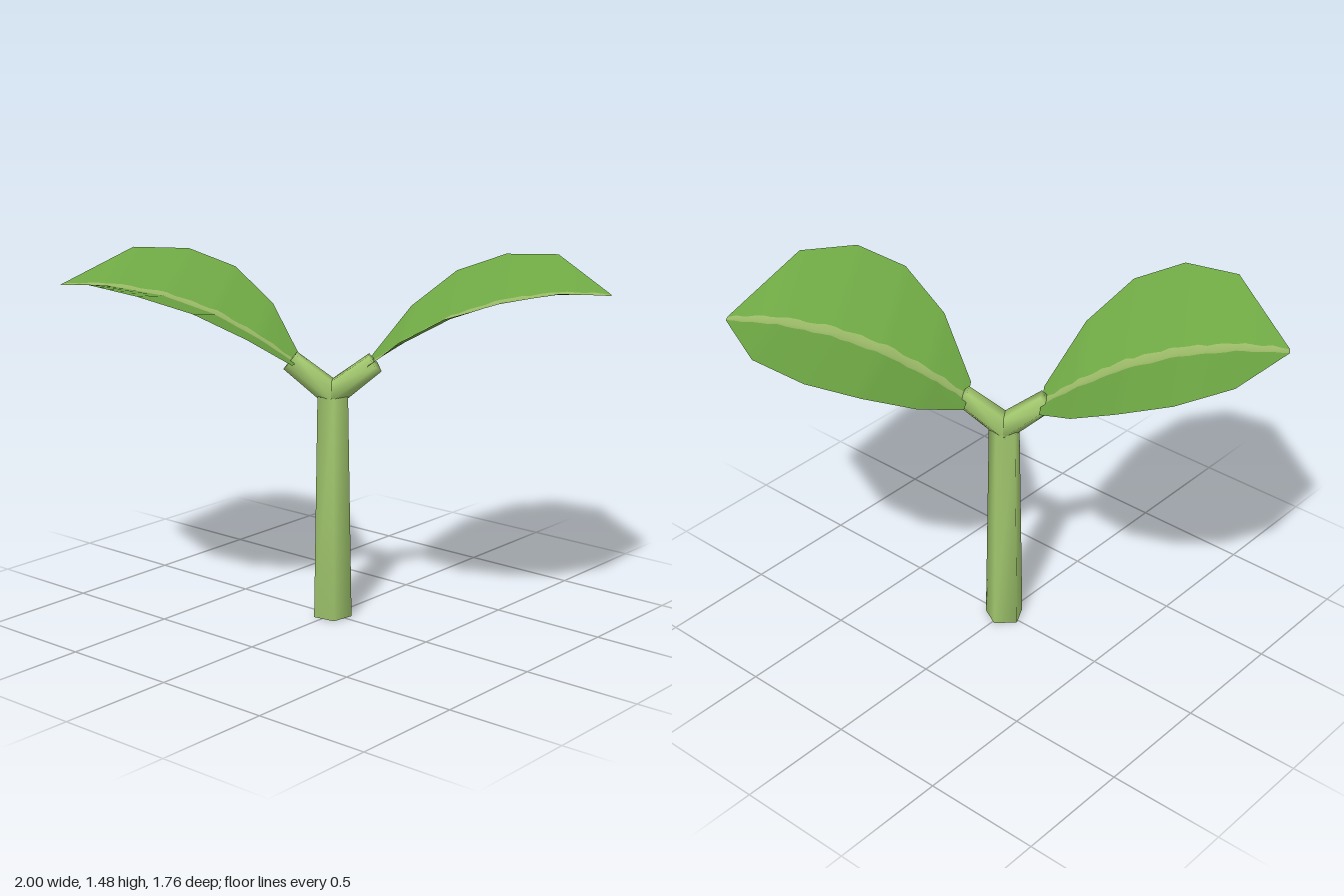
import * as THREE from 'three';
import { mergeVertices } from 'three/addons/utils/BufferGeometryUtils.js';

// Leaf stations: distance along the leaf, half width, midrib height, rim height
const STATIONS = [
  [0.150, 0.110, 1.085, 1.096],
  [0.295, 0.378, 1.180, 1.257],
  [0.478, 0.530, 1.280, 1.385],
  [0.686, 0.563, 1.352, 1.455],
  [0.907, 0.447, 1.388, 1.476],
  [1.117, 0.014, 1.390, 1.390],
];
const STEPS = 6;

// Five-sided tapered stalk, with normals blended across its caps
function stalkGeometry(topRadius, bottomRadius, height, turn) {
  const g = new THREE.CylinderGeometry(topRadius, bottomRadius, height, 5, 1, false, turn);
  g.deleteAttribute('normal');
  g.deleteAttribute('uv');
  const merged = mergeVertices(g);
  merged.computeVertexNormals();
  return merged;
}

// Cupped leaf along +x: blade faces in group 0, ragged midrib in group 1
function leafGeometry() {
  const positions = [];
  const rows = (STATIONS.length - 1) * STEPS;
  for (let i = 0; i <= rows; i++) {
    const k = Math.min(Math.floor(i / STEPS), STATIONS.length - 2);
    const t = i / STEPS - k;
    const [u, w, mid, rim] = STATIONS[k].map((a, n) => a + (STATIONS[k + 1][n] - a) * t);
    const f = i / rows;
    const rib = 0.02 + 0.018 * Math.sin(Math.PI * f);
    const left = Math.min(0.9 * w, rib + 0.006 * Math.sin(i * 2.3));
    const right = Math.min(0.9 * w, rib + 0.006 * Math.sin(i * 1.7 + 1));
    for (const v of [-w, -left, 0, right, w]) {
      positions.push(u, mid + (rim - mid) * Math.abs(v) / w, v);
    }
  }
  const blade = [], midrib = [];
  for (let i = 0; i < rows; i++) {
    for (let j = 0; j < 4; j++) {
      const a = i * 5 + j, b = a + 1, c = a + 5, d = a + 6;
      (j === 1 || j === 2 ? midrib : blade).push(a, b, c, b, d, c);
    }
  }
  const g = new THREE.BufferGeometry();
  g.setAttribute('position', new THREE.Float32BufferAttribute(positions, 3));
  g.setIndex([...blade, ...midrib]);
  g.addGroup(0, blade.length, 0);
  g.addGroup(blade.length, midrib.length, 1);
  g.computeVertexNormals();
  return g;
}

export function createModel() {
  const material = (name, color, side = THREE.FrontSide) => {
    const m = new THREE.MeshStandardMaterial({ color, side });
    m.name = name;
    return m;
  };
  const stemGreen = material('stemGreen', 0xa2c86e);
  const leafGreen = material('leafGreen', 0x70aa45, THREE.DoubleSide);
  const ribGreen = material('ribGreen', 0x9cbb68, THREE.DoubleSide);

  const model = new THREE.Group();
  model.name = 'sprout';

  // Upright stem
  const stem = new THREE.Mesh(stalkGeometry(0.066, 0.083, 0.95, Math.PI / 4), stemGreen);
  stem.name = 'stem';
  stem.position.y = 0.475;
  model.add(stem);

  // Two opposite leaves, each on a short slanted stalk
  const leafShape = leafGeometry();
  const start = new THREE.Vector3(-0.02, 0.945, 0);
  const end = new THREE.Vector3(0.172, 1.095, 0);
  const along = end.clone().sub(start);
  const stalkShape = stalkGeometry(0.048, 0.058, along.length(), Math.PI / 2);
  for (const [side, angle] of [['left', 0.6], ['right', 0.6 + Math.PI]]) {
    const arm = new THREE.Group();
    arm.name = side + 'Shoot';
    arm.rotation.y = angle;

    const stalk = new THREE.Mesh(stalkShape, stemGreen);
    stalk.name = side + 'LeafStalk';
    stalk.position.copy(start).add(end).multiplyScalar(0.5);
    stalk.quaternion.setFromUnitVectors(new THREE.Vector3(0, 1, 0), along.clone().normalize());

    const leaf = new THREE.Mesh(leafShape, [leafGreen, ribGreen]);
    leaf.name = side + 'Leaf';
    arm.add(stalk, leaf);
    model.add(arm);
  }
  return model;
}
